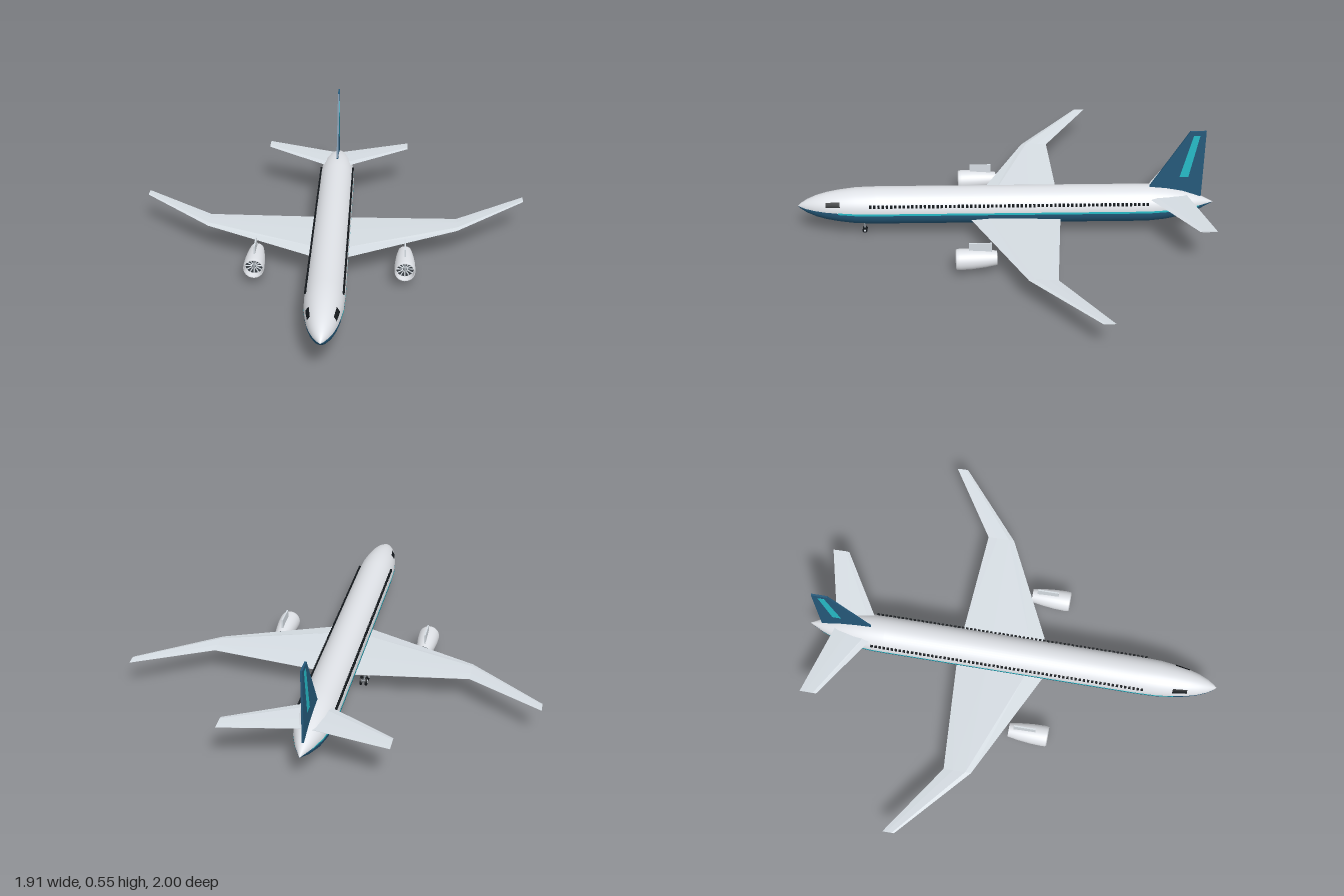
import * as THREE from 'three';

const makeMat = (name, color, side = THREE.FrontSide) => {
  const m = new THREE.MeshStandardMaterial({ color, side });
  m.name = name;
  return m;
};

export function createModel() {
  const model = new THREE.Group();
  model.name = 'airliner';
  const white = makeMat('white paint', 0xe6e9ee);
  const grey = makeMat('wing grey', 0xd6dde3);
  const navy = makeMat('navy paint', 0x25597a);
  const teal = makeMat('teal trim', 0x27bcc8);
  const black = makeMat('black glass and rubber', 0x15191d);
  const metal = makeMat('metal', 0x8b9298);
  const dark = makeMat('engine dark', 0x3a4046);

  const add = (parent, name, geo, mat, x = 0, y = 0, z = 0) => {
    const m = new THREE.Mesh(geo, mat);
    m.name = name;
    m.position.set(x, y, z);
    parent.add(m);
    return m;
  };

  // Lathe turned so its axis runs along z; profile is [z, radius] pairs
  const latheZ = (pts, segs, start = 0, len = Math.PI * 2) =>
    new THREE.LatheGeometry(pts.map(([z, r]) => new THREE.Vector2(r, z)), segs, start, len).rotateX(Math.PI / 2);

  // Fuselage profile
  const axisY = 0.157;
  const hull = [[-1, 0.001], [-0.93, 0.036], [-0.85, 0.065], [-0.77, 0.081], [-0.69, 0.089], [-0.62, 0.09],
    [0.62, 0.09], [0.72, 0.087], [0.8, 0.077], [0.86, 0.066], [0.91, 0.052], [0.955, 0.033], [0.985, 0.014], [1, 0.0005]];
  const radiusAt = z => {
    const i = Math.max(1, hull.findIndex(p => p[0] >= z));
    const [z0, r0] = hull[i - 1], [z1, r1] = hull[i];
    return r0 + (r1 - r0) * (z - z0) / (z1 - z0);
  };
  // Skin strip between two stations and two elevations on one side, just above the hull
  const skinPatch = (s, z0, z1, e0, e1, lift) => {
    const stations = [z0, ...hull.map(p => p[0]).filter(z => z > z0 && z < z1), z1];
    const start = s > 0 ? Math.PI / 2 + e0 : 1.5 * Math.PI - e1;
    return latheZ(stations.map(z => [z, radiusAt(z) + lift]), 4, start, e1 - e0);
  };
  add(model, 'upperFuselage', latheZ(hull, 24, Math.PI / 2, Math.PI), white, 0, axisY);
  add(model, 'lowerFuselage', latheZ(hull, 24, 1.5 * Math.PI, Math.PI), navy, 0, axisY);

  // Wing-like surface lofted through sections [x, y, zLeading, zTrailing, thickness]
  const foil = [[0, 0], [0.2, 0.5], [0.65, 0.35], [1, 0.04], [1, -0.04], [0.65, -0.3], [0.2, -0.5]];
  const loft = (sections, s) => {
    const n = foil.length, pos = [], idx = [];
    for (const [x, y, zl, zt, t] of sections)
      for (const [c, h] of foil) pos.push(s * x, y + h * t, zl + (zt - zl) * c);
    const tri = (a, b, c) => (s > 0 ? idx.push(a, b, c) : idx.push(a, c, b));
    for (let i = 0; i < sections.length - 1; i++)
      for (let j = 0; j < n; j++) {
        const a = i * n + j, b = i * n + (j + 1) % n;
        tri(a, a + n, b);
        tri(b, a + n, b + n);
      }
    const last = (sections.length - 1) * n;
    for (let j = 1; j < n - 1; j++) {
      tri(0, j, j + 1);
      tri(last, last + j + 1, last + j);
    }
    const g = new THREE.BufferGeometry();
    g.setAttribute('position', new THREE.Float32BufferAttribute(pos, 3));
    g.setIndex(idx);
    const flat = g.toNonIndexed();
    flat.computeVertexNormals();
    return flat;
  };
  const wing = [[0.03, 0.114, 0.19, -0.263, 0.022], [0.09, 0.115, 0.16, -0.26, 0.021],
    [0.61, 0.137, -0.092, -0.223, 0.011], [0.955, 0.158, -0.39, -0.445, 0.005]];
  const tailplane = [[0.012, 0.209, -0.655, -0.865, 0.012], [0.38, 0.228, -0.88, -0.96, 0.006]];
  tailplane[1][0] = 0.373;

  // Flat plate standing in the centre plane; corners are [z, y]
  const plate = (corners, depth) =>
    new THREE.ExtrudeGeometry(new THREE.Shape(corners.map(([z, y]) => new THREE.Vector2(-z, y))), { depth, bevelEnabled: false })
      .translate(0, 0, -depth / 2).rotateY(Math.PI / 2);
  add(model, 'tailFin', plate([[-0.69, 0.235], [-0.69, 0.25], [-0.865, 0.545], [-0.94, 0.545], [-0.94, 0.19], [-0.85, 0.19]], 0.009), navy);
  for (const s of [-1, 1])
    add(model, 'finStripe', plate([[-0.83, 0.3], [-0.882, 0.522], [-0.912, 0.522], [-0.872, 0.3]], 0.002), teal, s * 0.0045);

  // Engine shell: outer skin, lip, then inner duct
  const shell = [[0.045, 0.033], [0.1, 0.042], [0.16, 0.048], [0.215, 0.05], [0.23, 0.0485], [0.236, 0.046],
    [0.23, 0.043], [0.2, 0.042], [0.12, 0.038], [0.045, 0.031]].map(([z, r]) => [z - 0.14, r]);
  const addEngine = s => {
    const e = new THREE.Group();
    e.name = 'engine';
    e.position.set(s * 0.355, 0.082, 0.14);
    e.rotation.x = 0.04;
    model.add(e);
    add(e, 'nacelle', latheZ(shell, 28), white);
    add(e, 'fanDisc', new THREE.CylinderGeometry(0.041, 0.037, 0.06, 28).rotateX(Math.PI / 2), dark, 0, 0, 0.028);
    for (let i = 0; i < 12; i++) {
      const blade = new THREE.BoxGeometry(0.005, 0.03, 0.004).rotateY(0.4).translate(0, 0.025, 0);
      add(e, 'fanBlade', blade.rotateZ(i * Math.PI / 6), grey, 0, 0, 0.061);
    }
    add(e, 'spinner', new THREE.ConeGeometry(0.011, 0.022, 16).rotateX(Math.PI / 2), metal, 0, 0, 0.069);
    add(e, 'exhaustCone', new THREE.ConeGeometry(0.02, 0.07, 16).rotateX(-Math.PI / 2), metal, 0, 0, -0.035);
    add(model, 'pylon', new THREE.BoxGeometry(0.007, 0.05, 0.105), grey, s * 0.355, 0.142, 0.123);
  };

  // Tyre with a pale hub on both faces
  const addWheel = (parent, x, y, z, r, w) => {
    add(parent, 'tyre', new THREE.CylinderGeometry(r, r, w, 20).rotateZ(Math.PI / 2), black, x, y, z);
    add(parent, 'hub', new THREE.CylinderGeometry(r * 0.45, r * 0.45, w + 0.003, 12).rotateZ(Math.PI / 2), grey, x, y, z);
  };
  const addGear = (name, x, z, r, y, spread, axles, top) => {
    const g = new THREE.Group();
    g.name = name;
    g.position.set(x, 0, z);
    model.add(g);
    add(g, 'strut', new THREE.CylinderGeometry(0.004, 0.004, top - y, 10), metal, 0, (top + y) / 2);
    for (const a of axles) {
      add(g, 'axle', new THREE.CylinderGeometry(0.003, 0.003, spread * 2, 8).rotateZ(Math.PI / 2), metal, 0, y, a);
      for (const s of [-1, 1]) addWheel(g, s * spread, y, a, r, 0.008);
    }
    if (axles.length > 1) add(g, 'bogieBeam', new THREE.BoxGeometry(0.006, 0.006, 0.045), metal, 0, y, 0);
  };
  addGear('noseGear', 0, 0.685, 0.012, 0.018, 0.009, [0], 0.08);

  const rad = Math.PI / 180;
  for (const s of [-1, 1]) {
    add(model, 'wing', loft(wing, s), grey);
    add(model, 'tailplane', loft(tailplane, s), grey);
    add(model, 'sideStripe', skinPatch(s, -0.93, 0.8, -5 * rad, 2 * rad, 0.0012), teal, 0, axisY);
    add(model, 'cockpitWindow', skinPatch(s, 0.79, 0.86, 22 * rad, 42 * rad, 0.0015), black, 0, axisY);
    // Cabin window row
    for (let i = 0; i < 67; i++)
      add(model, 'cabinWindow', new THREE.BoxGeometry(0.009, 0.013, 0.011), black, s * 0.0835, 0.196, 0.645 - i * 0.02);
    addEngine(s);
    addGear('mainGear', s * 0.102, -0.139, 0.021, 0.021, 0.013, [-0.022, 0.022], 0.115);
  }
  return model;
}
